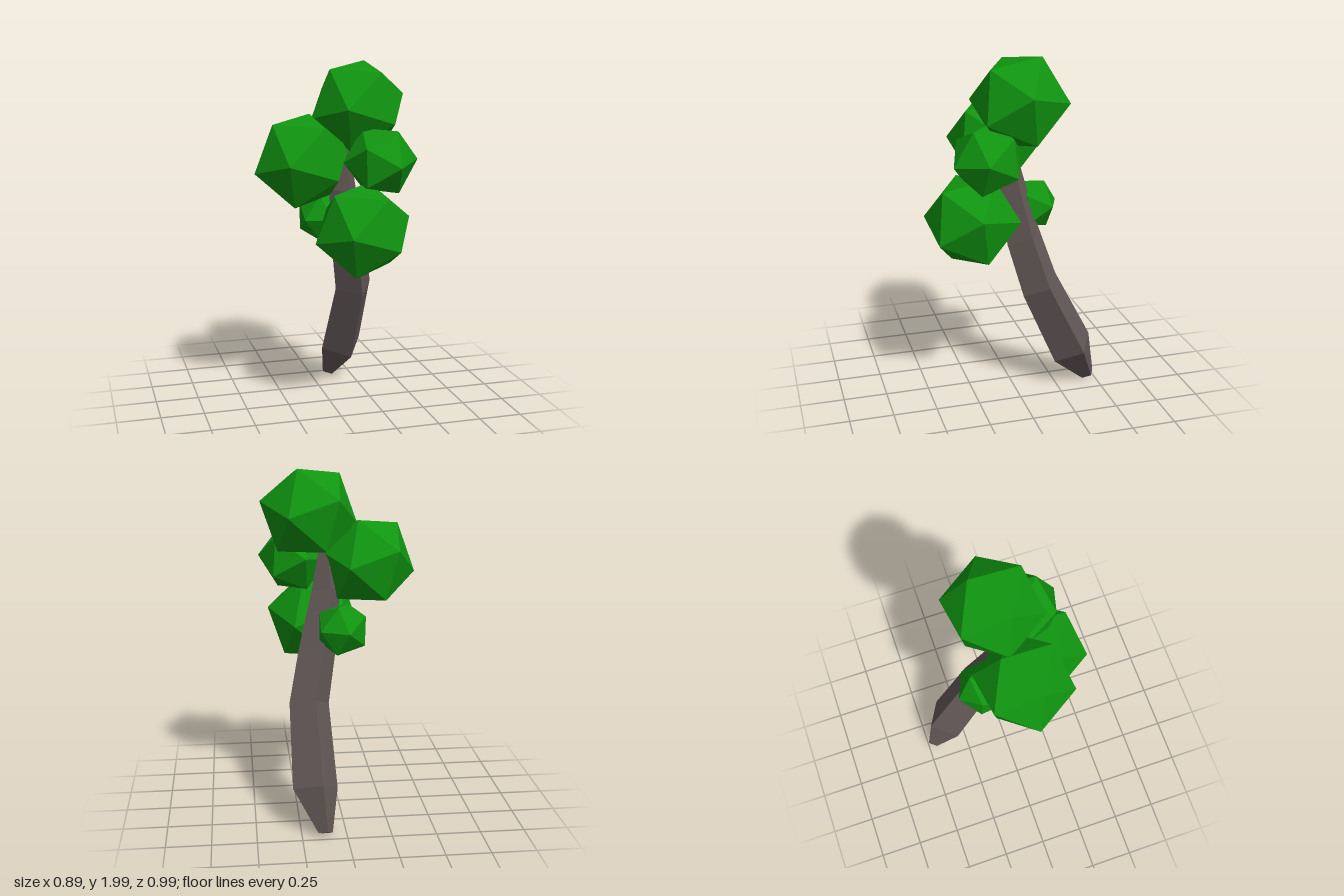
import * as THREE from 'three';

const V = (x, y, z) => new THREE.Vector3(x, y, z);

// Rotation that places two neighbouring icosahedron corners along a and b
function cornerRotation(a, b) {
  const x = a.clone().normalize().sub(b.clone().normalize()).normalize();
  const y = a.clone().normalize().add(b.clone().normalize()).normalize();
  return new THREE.Matrix4().makeBasis(x, y, x.clone().cross(y));
}

// Loft through four-sided rings, capped at both ends
function loft(rings) {
  const index = [];
  for (let r = 0; r < rings.length - 1; r++) {
    for (let i = 0; i < 4; i++) {
      const a = r * 4 + i, b = r * 4 + ((i + 1) % 4);
      index.push(a, b, b + 4, a, b + 4, a + 4);
    }
  }
  const t = (rings.length - 1) * 4;
  index.push(0, 2, 1, 0, 3, 2, t, t + 1, t + 2, t, t + 2, t + 3);
  const geo = new THREE.BufferGeometry();
  geo.setAttribute('position', new THREE.Float32BufferAttribute(rings.flat(2), 3));
  geo.setIndex(index);
  const flat = geo.toNonIndexed();
  flat.computeVertexNormals();
  return flat;
}

export function createModel() {
  const model = new THREE.Group();
  model.name = 'tree';
  const bark = new THREE.MeshStandardMaterial({ color: 0x645858, flatShading: true });
  const leaf = new THREE.MeshStandardMaterial({ color: 0x109510, flatShading: true });

  // Leaning trunk: centre x, y, z, radius and forward tilt of each ring
  const sections = [
    [0.12, 0.028, -0.46, 0.042, 0.55],
    [0.165, 0.245, -0.34, 0.133, 0.55],
    [0.18, 0.68, -0.13, 0.118, 0.5],
    [0.125, 0.97, -0.045, 0.112, 0.4],
    [0.07, 1.3, 0.015, 0.085, 0.35],
    [0.07, 1.58, 0.04, 0.03, 0.2],
  ];
  const rings = sections.map(([x, y, z, r, tilt]) =>
    [0, 1, 2, 3].map((i) => {
      const angle = 0.26 + (i * Math.PI) / 2;
      const dz = Math.cos(angle) * r * 0.9;
      return [x + Math.sin(angle) * r, y - tilt * dz, z + dz];
    }));
  const trunk = new THREE.Mesh(loft(rings), bark);
  trunk.name = 'trunk';
  model.add(trunk);

  // Foliage clumps: three large ones share an orientation, two small ones differ
  const large = cornerRotation(V(0.271, 0.062, 0), V(0.065, 0.2475, -0.105));
  const medium = cornerRotation(V(0.205, 0.01, 0.03), V(0.05, -0.02, 0.2));
  const small = cornerRotation(V(-0.04, 0.015, -0.155), V(-0.12, 0.075, -0.06));
  const clumps = [
    ['topFoliage', 0.278, large, 0.166, 1.752, -0.01],
    ['rightFoliage', 0.278, large, -0.172, 1.462, 0.046],
    ['frontFoliage', 0.278, large, 0.122, 1.092, 0.248],
    ['leftFoliage', 0.207, medium, 0.24, 1.465, 0.188],
    ['backFoliage', 0.158, small, -0.008, 1.11, -0.13],
  ];
  for (const [name, radius, rotation, x, y, z] of clumps) {
    const clump = new THREE.Mesh(new THREE.IcosahedronGeometry(radius, 0), leaf);
    clump.name = name;
    clump.setRotationFromMatrix(rotation);
    clump.position.set(x, y, z);
    model.add(clump);
  }
  return model;
}
